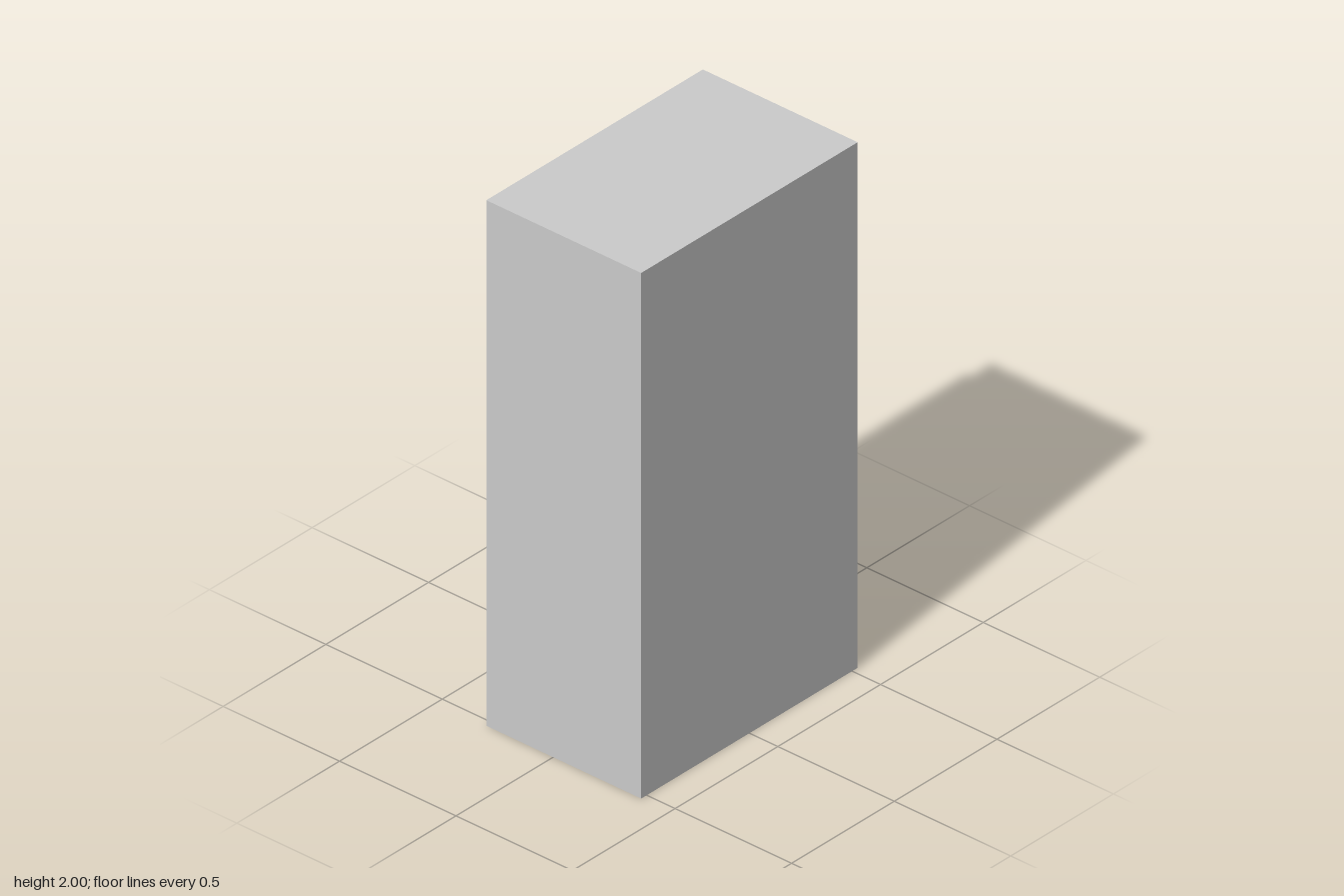
import * as THREE from 'three';

const material = new THREE.MeshStandardMaterial({ color: 0xcccccc, side: THREE.DoubleSide });

// Cabinet measures
const H = 2, Z = 0.527;                    // height, half width
const FACE = -0.287, BACK = 0.378;         // x of door face frame and rear wall
const DOOR = { in: 0.015, out: 0.461, bottom: 0.043, top: 1.96, front: -0.311 };

function add(parent, name, geometry, x = 0, y = 0, z = 0) {
  const mesh = new THREE.Mesh(geometry, material);
  mesh.name = name;
  mesh.position.set(x, y, z);
  parent.add(mesh);
  return mesh;
}

// Box without some sides (0..5 = +x, -x, +y, -y, +z, -z)
function openBox(w, h, d, omit) {
  const g = new THREE.BoxGeometry(w, h, d);
  const all = Array.from(g.index.array);
  g.setIndex(all.filter((_, i) => !omit.includes(Math.floor(i / 6))));
  g.clearGroups();
  return g;
}

// Bent pull handle with rounded corners, drawn in the xy plane
function handleGeometry() {
  const v = (x, y) => new THREE.Vector3(x, y, 0);
  const root = DOOR.front, bar = -0.3645, top = 1.06, low = 0.897;
  const path = new THREE.CurvePath();
  path.add(new THREE.LineCurve3(v(root, top), v(bar + 0.025, top)));
  path.add(new THREE.QuadraticBezierCurve3(v(bar + 0.025, top), v(bar + 0.003, top), v(bar, top - 0.035)));
  path.add(new THREE.LineCurve3(v(bar, top - 0.035), v(bar, low + 0.035)));
  path.add(new THREE.QuadraticBezierCurve3(v(bar, low + 0.035), v(bar + 0.003, low), v(bar + 0.025, low)));
  path.add(new THREE.LineCurve3(v(bar + 0.025, low), v(root, low)));
  return new THREE.TubeGeometry(path, 48, 0.0133, 16, false);
}

export function createModel() {
  const group = new THREE.Group();
  group.name = 'cabinet';

  // Thin carcass, open underneath
  add(group, 'carcass', openBox(BACK - FACE, H, 2 * Z, [1, 3]), (FACE + BACK) / 2, H / 2, 0);

  // Face frame with two door openings
  const frame = new THREE.Shape([[-Z, 0], [Z, 0], [Z, H], [-Z, H]].map(p => new THREE.Vector2(...p)));
  for (const s of [-1, 1]) {
    const a = s * DOOR.in, b = s * DOOR.out;
    frame.holes.push(new THREE.Path([[a, DOOR.bottom], [a, DOOR.top], [b, DOOR.top], [b, DOOR.bottom]]
      .map(p => new THREE.Vector2(...p))));
  }
  add(group, 'faceFrame', new THREE.ShapeGeometry(frame), FACE).rotation.y = -Math.PI / 2;

  // Raised hollow doors and their handles
  const depth = FACE - DOOR.front;
  for (const [s, side] of [[-1, 'back'], [1, 'front']]) {
    add(group, side + 'Door', openBox(depth, DOOR.top - DOOR.bottom, DOOR.out - DOOR.in, [0]),
      (FACE + DOOR.front) / 2, (DOOR.top + DOOR.bottom) / 2, s * (DOOR.in + DOOR.out) / 2);
    add(group, side + 'Handle', handleGeometry(), 0, 0, s * 0.0685);
  }
  return group;
}
